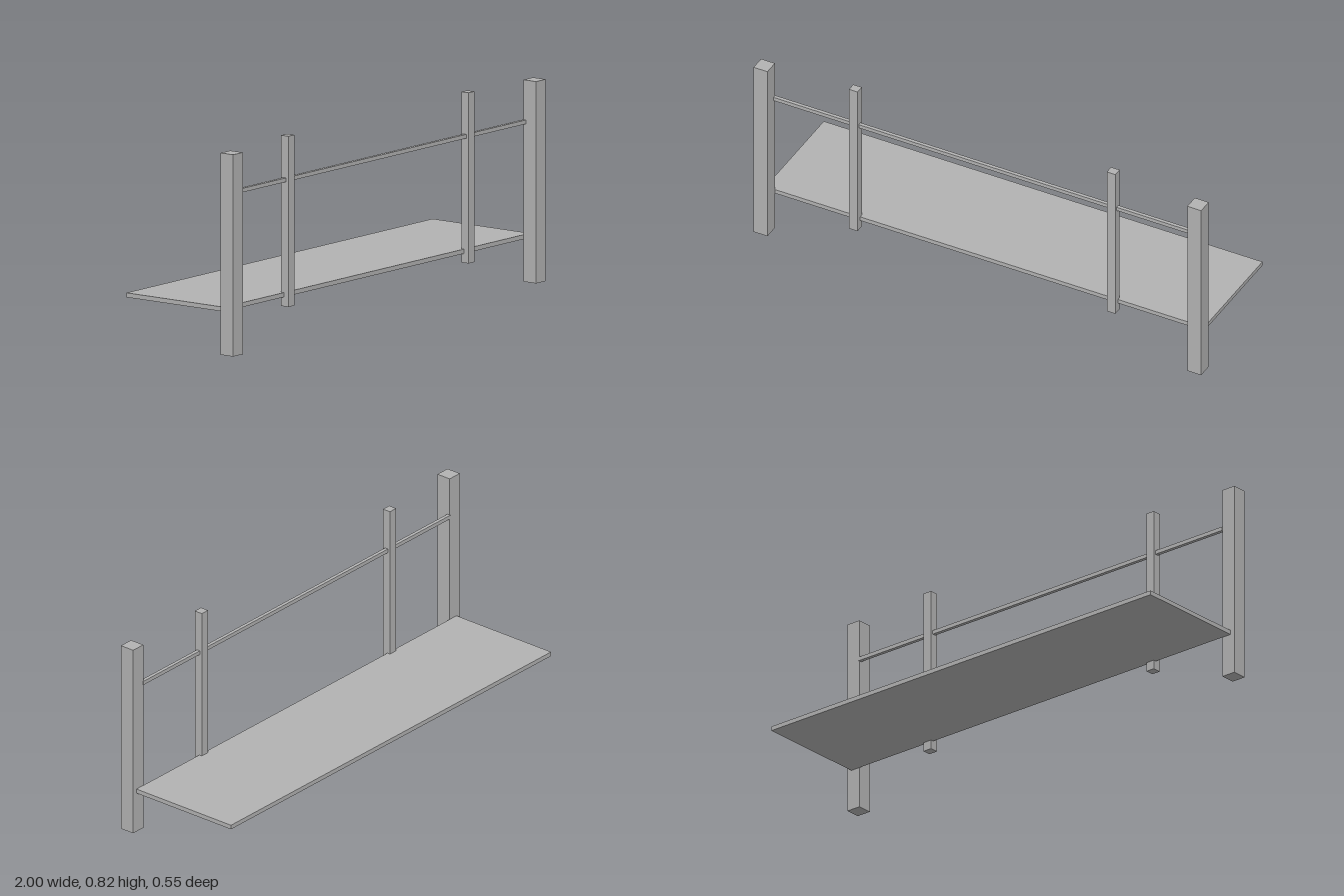
import * as THREE from 'three';

export function createModel() {
  const model = new THREE.Group();
  const grey = new THREE.MeshStandardMaterial({ color: 0xb2b2b2 });
  grey.name = 'plain grey';

  // Box given by its minimum and maximum corners
  function box(name, [x0, y0, z0], [x1, y1, z1]) {
    const mesh = new THREE.Mesh(new THREE.BoxGeometry(x1 - x0, y1 - y0, z1 - z0), grey);
    mesh.position.set((x0 + x1) / 2, (y0 + y1) / 2, (z0 + z1) / 2);
    mesh.name = name;
    model.add(mesh);
    return mesh;
  }

  // Deck board and the handrail between the corner posts
  box('deck', [-0.98, 0.17, -0.275], [0.98, 0.188, 0.212]);
  box('handrail', [-0.94, 0.634, 0.209], [0.94, 0.65, 0.224]);

  // Corner posts and slim uprights, mirrored left and right
  for (const side of [1, -1]) {
    const label = side > 0 ? 'left' : 'right';
    const post = box(label + 'CornerPost', [0.938, 0, 0.212], [1, 0.81, 0.275]);
    const upright = box(label + 'Upright', [0.557, 0.133, 0.199], [0.595, 0.818, 0.235]);
    post.position.x *= side;
    upright.position.x *= side;
  }

  return model;
}
